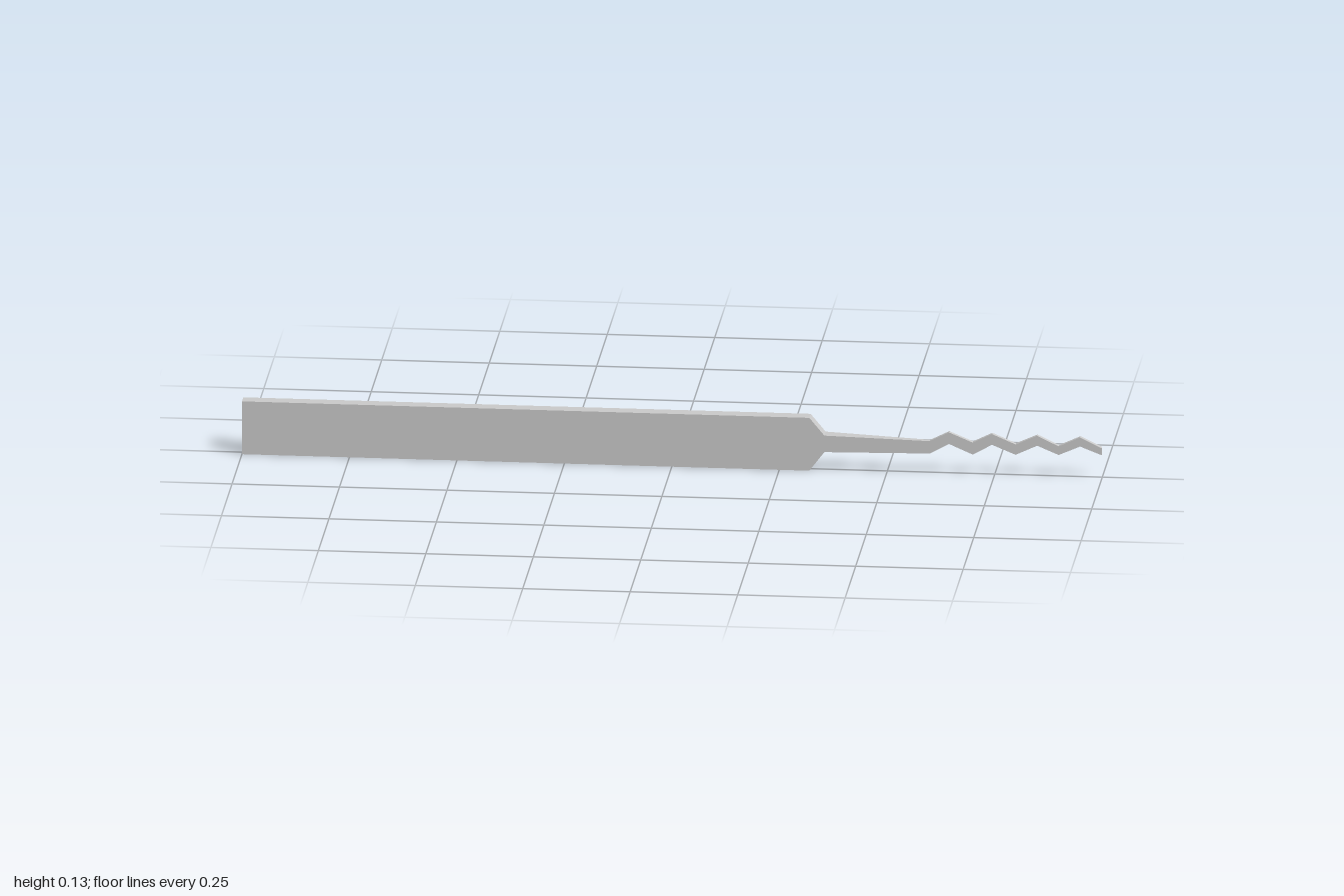
import * as THREE from 'three';

const FRONT = 0.016, BACK = -0.016, THIN = 0.005;

// Joins rectangular cross-sections [x, bottom, top, backZ] into a flat-shaded bar.
function bar(name, sections, capStart, capEnd) {
  const points = [], index = [];
  for (const [x, y0, y1, z0] of sections) {
    points.push(x, y0, FRONT, x, y0, z0, x, y1, z0, x, y1, FRONT);
  }
  const quad = (a, b, c, d) => index.push(a, b, c, a, c, d);
  const last = (sections.length - 1) * 4;
  for (let i = 0; i < last; i += 4) {
    for (let j = 0; j < 4; j++) {
      const k = (j + 1) % 4;
      quad(i + j, i + k, i + 4 + k, i + 4 + j);
    }
  }
  if (capStart) quad(3, 2, 1, 0);
  if (capEnd) quad(last, last + 1, last + 2, last + 3);

  const indexed = new THREE.BufferGeometry();
  indexed.setAttribute('position', new THREE.Float32BufferAttribute(points, 3));
  indexed.setIndex(index);
  const geometry = indexed.toNonIndexed();
  geometry.computeVertexNormals();
  const mesh = new THREE.Mesh(
    geometry,
    new THREE.MeshStandardMaterial({ color: 0xcccccc, flatShading: true })
  );
  mesh.name = name;
  return mesh;
}

export function createModel() {
  const group = new THREE.Group();
  group.name = 'pickTool';

  // Flat handle with chamfered shoulders
  const neck = [0.355, 0.046, 0.086, BACK];
  group.add(bar('handle', [
    [-1, 0, 0.128, BACK],
    [0.32, 0, 0.128, BACK],
    neck,
  ], true, false));

  // Shank, thinning from the back towards the tip
  const tipStart = [0.6, 0.05, 0.08, THIN];
  group.add(bar('shank', [neck, tipStart], false, false));

  // Zigzag tip, narrowing slightly along its length
  const waves = [tipStart];
  for (let i = 1; i <= 8; i++) {
    const crest = i % 2 === 1;
    const x = 0.6 + i * 0.05 - (i < 4 && crest ? 0.005 : 0);
    const t = i / 8;
    waves.push([
      x,
      crest ? 0.074 + 0.004 * t : 0.048 + 0.01 * t,
      crest ? 0.103 - 0.004 * t : 0.081 - 0.006 * t,
      THIN,
    ]);
  }
  group.add(bar('wavyTip', waves, false, true));

  return group;
}
